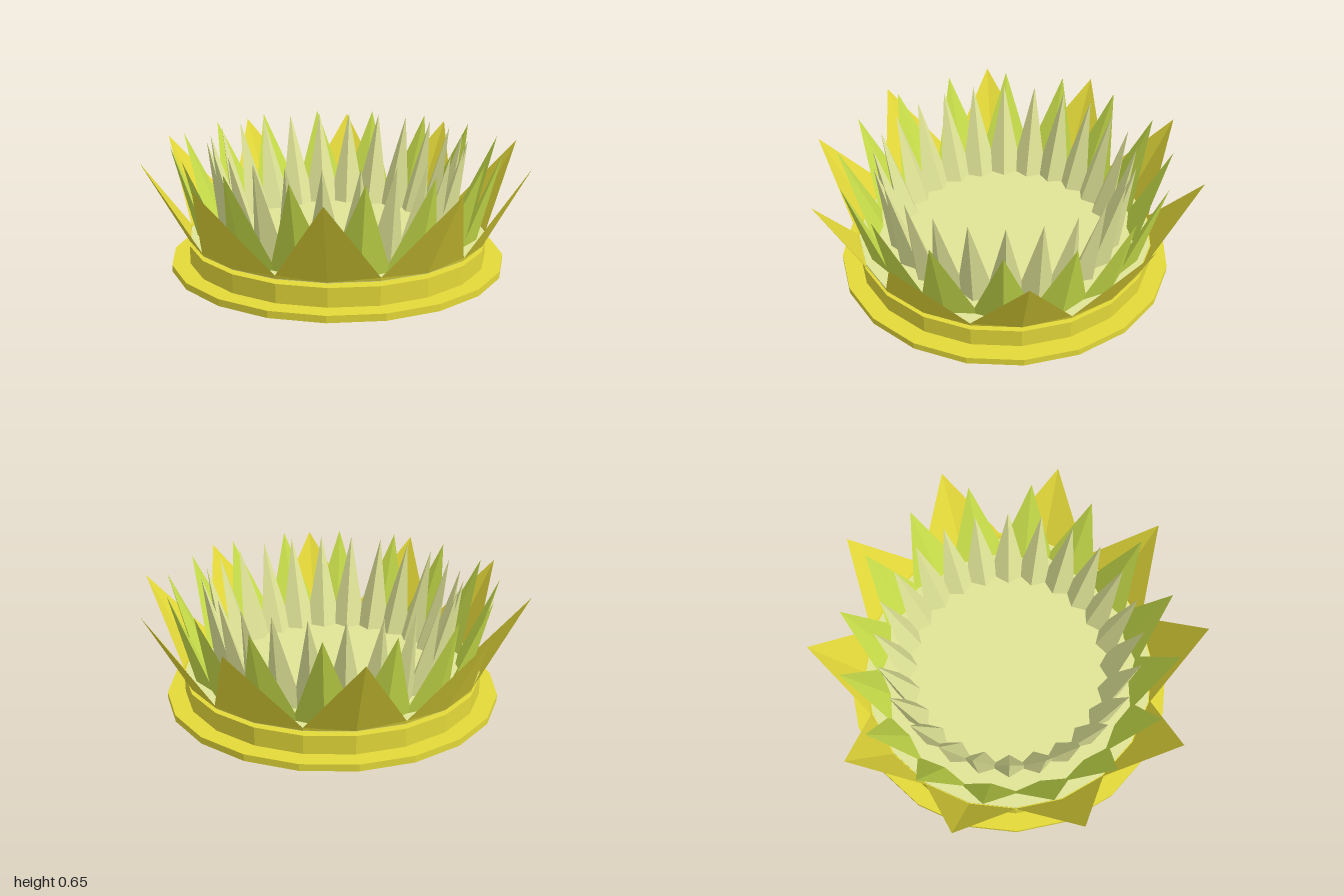
import * as THREE from 'three';

const mat = (name, color) => {
  const m = new THREE.MeshStandardMaterial({ color, flatShading: true, side: THREE.DoubleSide });
  m.name = name;
  return m;
};

// point on a circle around the y axis, angle measured from the front (+z)
const polar = (r, a, y) => [r * Math.sin(a), y, r * Math.cos(a)];

function facets(name, triangles, material) {
  const g = new THREE.BufferGeometry();
  g.setAttribute('position', new THREE.Float32BufferAttribute(triangles.flat(2), 3));
  g.computeVertexNormals();
  const m = new THREE.Mesh(g, material);
  m.name = name;
  return m;
}

function disc(name, r, y0, y1, material, turn) {
  const m = new THREE.Mesh(new THREE.CylinderGeometry(r, r, y1 - y0, 20), material);
  m.position.y = (y0 + y1) / 2;
  m.rotation.y = turn;
  m.name = name;
  return m;
}

// ring of leaning four-sided spikes with overlapping diamond footprints
function spikeRing(name, o, material) {
  const tris = [];
  const step = (Math.PI * 2) / o.count;
  const half = step * o.spread;
  for (let i = 0; i < o.count; i++) {
    const a = o.turn + i * step;
    const tip = polar(o.tipR, a, o.tipY);
    const foot = [
      polar(o.outerR, a, o.baseY),
      polar(o.sideR, a + half, o.baseY),
      polar(o.innerR, a, o.baseY),
      polar(o.sideR, a - half, o.baseY),
    ];
    foot.forEach((p, k) => tris.push([p, foot[(k + 1) % 4], tip]));
    tris.push([foot[0], foot[2], foot[1]], [foot[0], foot[3], foot[2]]);
  }
  return facets(name, tris, material);
}

// thin crown of broad petals, two facets each
function petalRing(name, o, material) {
  const tris = [];
  const step = (Math.PI * 2) / o.count;
  for (let i = 0; i < o.count; i++) {
    const a = o.turn + i * step;
    const tip = polar(o.tipR, a, o.tipY);
    const mid = polar(o.baseR, a, o.baseY);
    for (const s of [-1, 1]) {
      const low = polar(o.baseR, a + (s * step) / 2, o.baseY);
      const valley = polar(o.baseR + 0.005, a + (s * step) / 2, o.valleyY);
      const pair = [[mid, low, valley], [mid, valley, tip]];
      tris.push(...pair.map((t) => (s > 0 ? t : [t[0], t[2], t[1]])));
    }
  }
  return facets(name, tris, material);
}

export function createModel() {
  const yellow = mat('yellow', 0xe4d939);
  const green = mat('leaf green', 0xc8de4a);
  const pale = mat('pale green', 0xe0e597);
  const group = new THREE.Group();
  group.name = 'spikedBowl';
  const turn = -0.08;

  // stepped base
  group.add(disc('baseFoot', 0.87, 0, 0.035, yellow, turn));
  group.add(disc('baseStep', 0.777, 0.035, 0.13, yellow, turn));
  group.add(disc('core', 0.67, 0.13, 0.15, green, turn));
  group.add(disc('floor', 0.77, 0.15, 0.158, pale, turn));

  // three rings of points, outside to inside
  group.add(petalRing('outerPetals', {
    count: 10, turn, tipR: 1.003, tipY: 0.58, baseR: 0.775, baseY: 0.155, valleyY: 0.172,
  }, yellow));
  group.add(spikeRing('middleSpikes', {
    count: 16, turn: -0.035, spread: 0.6, tipR: 0.85, tipY: 0.63, baseY: 0.135,
    outerR: 0.725, sideR: 0.685, innerR: 0.64,
  }, green));
  group.add(spikeRing('innerSpikes', {
    count: 24, turn: -0.02, spread: 0.72, tipR: 0.665, tipY: 0.65, baseY: 0.14,
    outerR: 0.61, sideR: 0.555, innerR: 0.485,
  }, pale));
  return group;
}
